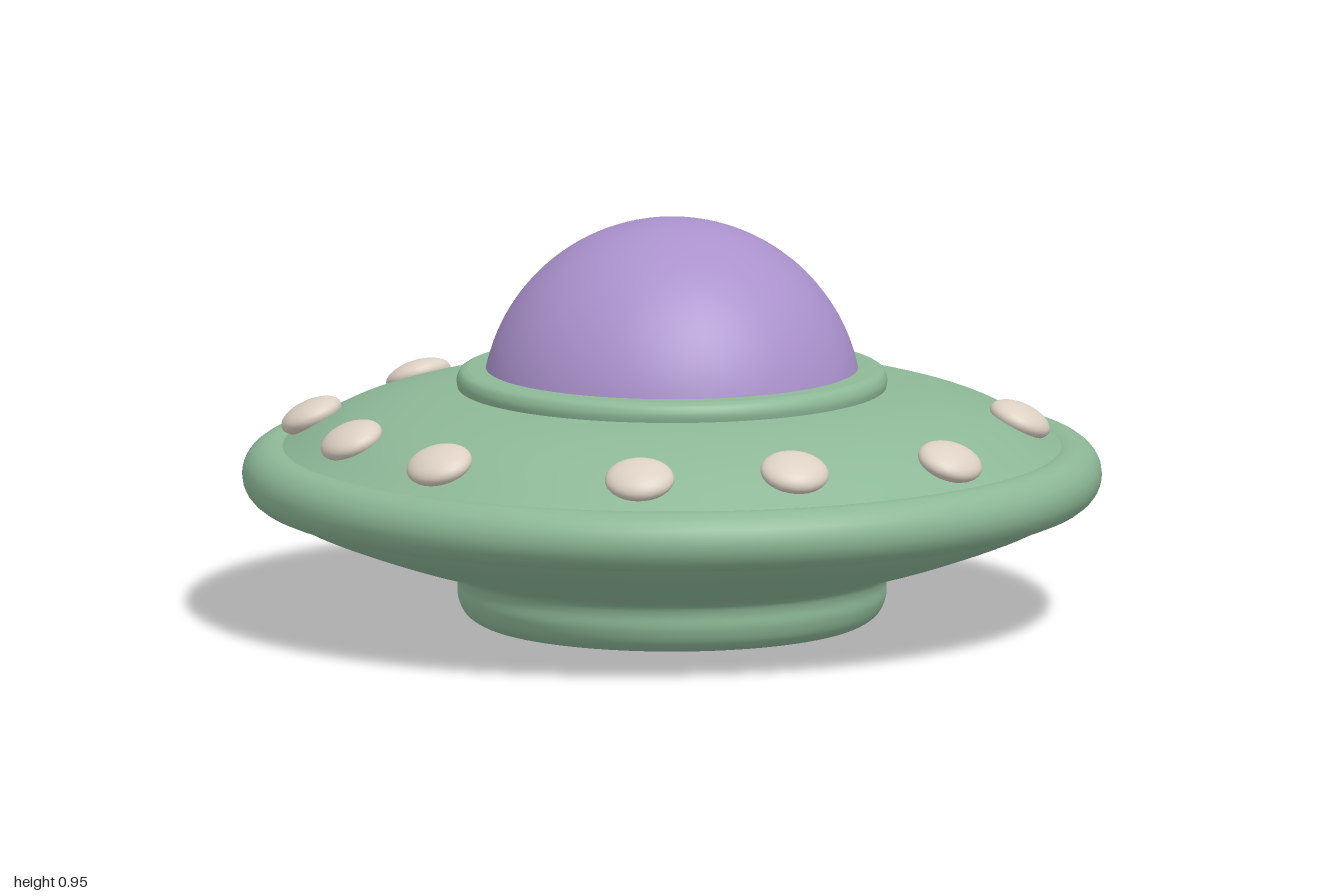
import * as THREE from 'three';

const V = (x, y) => new THREE.Vector2(x, y);

export function createModel() {
  const green = new THREE.MeshStandardMaterial({ color: 0x8db897 });
  green.name = 'green hull';
  const purple = new THREE.MeshStandardMaterial({ color: 0xaa91cc });
  purple.name = 'purple dome';
  const beige = new THREE.MeshStandardMaterial({ color: 0xdcd0c3 });
  beige.name = 'beige lights';

  const group = new THREE.Group();
  const add = (name, geometry, material) => {
    const mesh = new THREE.Mesh(geometry, material);
    mesh.name = name;
    group.add(mesh);
    return mesh;
  };
  const lathe = (points) => new THREE.LatheGeometry(points, 96);
  // smooth lathe profile through a few points
  const curve = (pts, n = 28) => new THREE.SplineCurve(pts.map((p) => V(...p))).getPoints(n);

  // flat bottom, rounded edge and flared underside
  add('base', lathe([V(0, 0.003), V(0.41, 0.003), ...curve([
    [0.43, 0.004], [0.455, 0.01], [0.483, 0.03], [0.498, 0.065], [0.5, 0.1],
    [0.512, 0.124], [0.55, 0.14], [0.65, 0.167], [0.78, 0.212], [0.88, 0.253], [0.93, 0.285],
  ], 50)]), green);

  // rounded outer rim
  const rim = add('rim', new THREE.TorusGeometry(0.93, 0.07, 24, 96), green);
  rim.rotation.x = Math.PI / 2;
  rim.position.y = 0.35;

  // domed upper hull
  add('upperHull', lathe(curve([
    [0.93, 0.4], [0.89, 0.425], [0.82, 0.468], [0.74, 0.505], [0.63, 0.536], [0.52, 0.553], [0.42, 0.56],
  ])), green);

  // collar around the dome
  add('collar', lathe([V(0.49, 0.54), ...curve([
    [0.497, 0.55], [0.501, 0.572], [0.493, 0.592], [0.475, 0.6],
  ], 12), V(0.41, 0.6)]), green);

  // glass dome
  const dome = add('dome', new THREE.SphereGeometry(0.443, 64, 32, 0, Math.PI * 2, 0, Math.PI * 0.5), purple);
  dome.position.y = 0.507;

  // flattened lights lying on the slope of the hull
  const lightGeometry = new THREE.SphereGeometry(1, 28, 18);
  const addLight = (x, z) => {
    const pivot = new THREE.Group();
    pivot.name = 'light';
    pivot.rotation.y = Math.atan2(x, z);
    const r = Math.hypot(x, z);
    const lamp = new THREE.Mesh(lightGeometry, beige);
    lamp.name = 'lightLens';
    lamp.position.set(0, 0.477 + (0.83 - r) * 0.4, r);
    lamp.rotation.x = 0.42;
    lamp.scale.set(0.081, 0.036, 0.075);
    pivot.add(lamp);
    group.add(pivot);
  };
  addLight(0, -0.83);
  for (const side of [-1, 1]) {
    for (const [x, z] of [[0.76, -0.28], [0.807, 0.245], [0.56, 0.588], [0.253, 0.787]]) addLight(side * x, z);
  }
  return group;
}
